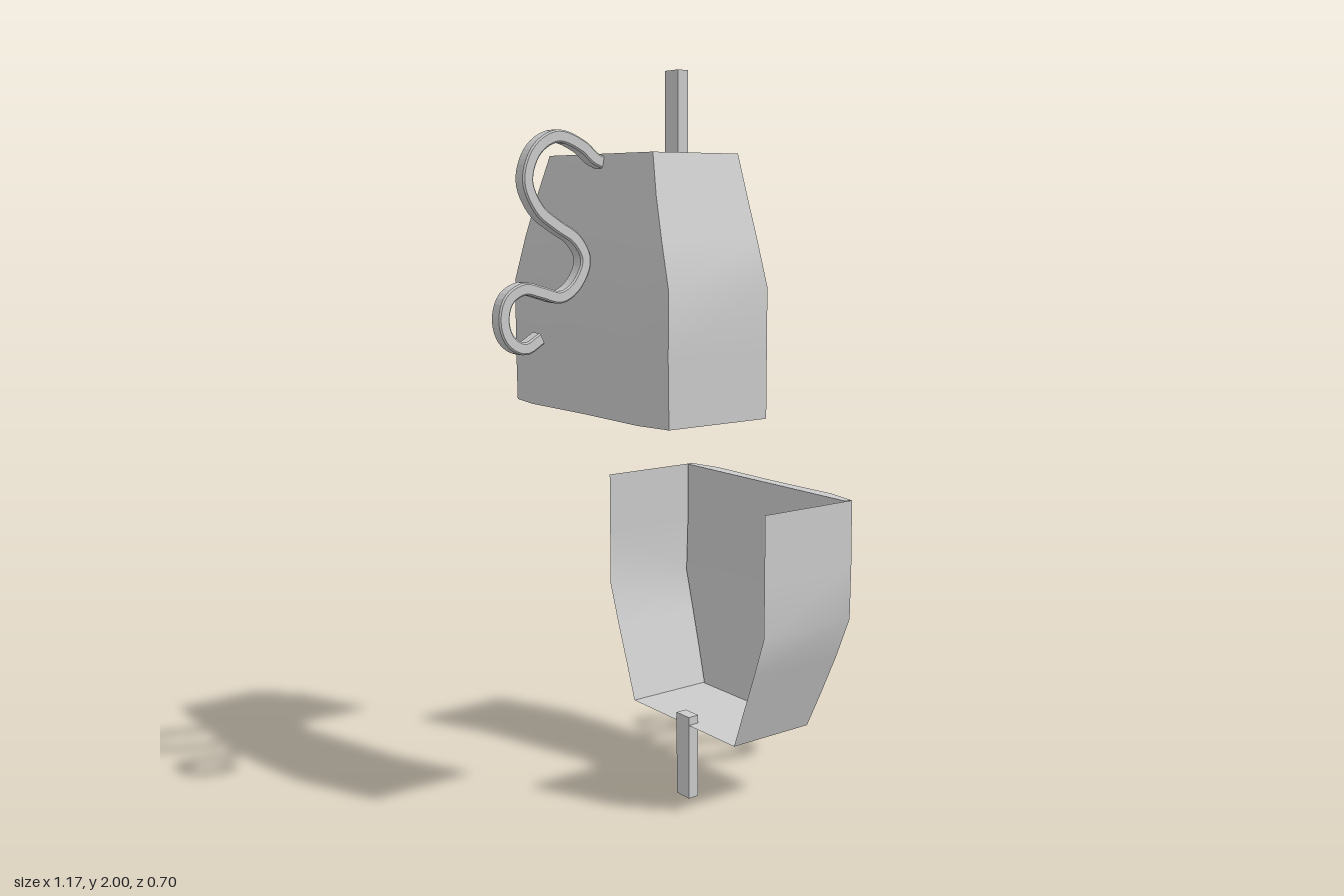
import * as THREE from 'three';

const mat = new THREE.MeshStandardMaterial({ color: 0xcccccc, side: THREE.DoubleSide });

// Smooth sheet through rows of [x, y, z] points
function sheet(rows, name) {
  const n = rows[0].length, index = [];
  for (let r = 0; r < rows.length - 1; r++) {
    for (let c = 0; c < n - 1; c++) {
      const a = r * n + c, b = a + 1, d = a + n, e = d + 1;
      index.push(a, b, e, a, e, d);
    }
  }
  const g = new THREE.BufferGeometry();
  g.setAttribute('position', new THREE.Float32BufferAttribute(rows.flat(2), 3));
  g.setIndex(index);
  g.computeVertexNormals();
  const m = new THREE.Mesh(g, mat);
  m.name = name;
  return m;
}

// Cross-sections of the shell: height, half depth, corner x, bulge, inner x
const SECTIONS = [
  [0.217, 0.23, 0.265, 0, 0.258],
  [0.32, 0.267, 0.283, 0.003, 0.266],
  [0.43, 0.308, 0.297, 0.008, 0.274],
  [0.545, 0.348, 0.307, 0.013, 0.28],
  [0.7, 0.348, 0.309, 0.02, 0.285],
  [0.875, 0.348, 0.307, 0.019, 0.286],
];
// Bulge profile across the side panel
const ACROSS = [[1, 0], [0.7, 1], [0.35, 0.85], [0, 0.7], [-0.35, 0.85], [-0.7, 1], [-1, 0]];

// Centre line of the scroll handle
const SCROLL = [
  [0.262, 0.24], [0.29, 0.23], [0.33, 0.2], [0.405, 0.177], [0.468, 0.212], [0.495, 0.286],
  [0.463, 0.355], [0.41, 0.394], [0.352, 0.43], [0.325, 0.48], [0.352, 0.54],
  [0.4, 0.57], [0.458, 0.557], [0.51, 0.546], [0.556, 0.571], [0.571, 0.624],
  [0.553, 0.672], [0.51, 0.693], [0.462, 0.67],
];

function createHalf(name, zSign) {
  const half = new THREE.Group();
  half.name = name;

  // Front and back walls, open along x = 0
  for (const s of [1, -1]) {
    half.add(sheet(SECTIONS.map(([y, h, x]) => {
      const row = [[0, y, s * h], [x, y, s * h]];
      return s > 0 ? row : row.reverse();
    }), s > 0 ? 'frontWall' : 'backWall'));
  }

  // Bulging outer side panel and flat inner lining
  const outer = SECTIONS.map(([y, h, x, b]) => ACROSS.map(([t, k]) => [x + b * k, y, t * h]));
  const inner = SECTIONS.map(([y, h, , , xi]) => ACROSS.map(([t]) => [xi, y, -t * (h - 0.006)]));
  half.add(sheet(outer, 'sidePanel'), sheet(inner, 'sideLining'));

  // Rim joining the panel and the lining
  const last = SECTIONS.length - 1;
  half.add(sheet([outer[last], [...inner[last]].reverse()], 'sideRim'));

  // End plate
  const [y0, h0, x0] = SECTIONS[0];
  half.add(sheet([[[0, y0, -h0], [x0, y0, -h0]], [[0, y0, h0], [x0, y0, h0]]], 'endPlate'));

  // Square pin
  const pin = new THREE.Mesh(new THREE.BoxGeometry(0.033, 0.24, 0.056), mat);
  pin.name = 'pin';
  pin.position.set(0.0165, 0.12, 0.003 * -zSign);
  half.add(pin);

  // Scroll handle, leaning slightly sideways
  const path = new THREE.CatmullRomCurve3(SCROLL.map(([x, y]) =>
    new THREE.Vector3(x, y, zSign * (0.007 + 0.04 * (x - 0.27)))));
  const w = 0.019, t = 0.0155, c = 0.004;
  const profile = new THREE.Shape([
    [w - c, -t], [w, c - t], [w, t - c], [w - c, t],
    [c - w, t], [-w, t - c], [-w, c - t], [c - w, -t],
  ].map(([x, y]) => new THREE.Vector2(x, y)));
  const scroll = new THREE.Mesh(
    new THREE.ExtrudeGeometry(profile, { steps: 90, extrudePath: path, bevelEnabled: false }), mat);
  scroll.name = 'scrollHandle';
  half.add(scroll);
  return half;
}

export function createModel() {
  const model = new THREE.Group();
  model.name = 'splitCasing';
  const lower = createHalf('lowerHalf', -1);
  // The upper half is the lower one turned upside down
  const upper = createHalf('upperHalf', 1);
  upper.rotation.z = Math.PI;
  upper.position.y = 2;
  model.add(lower, upper);
  return model;
}
